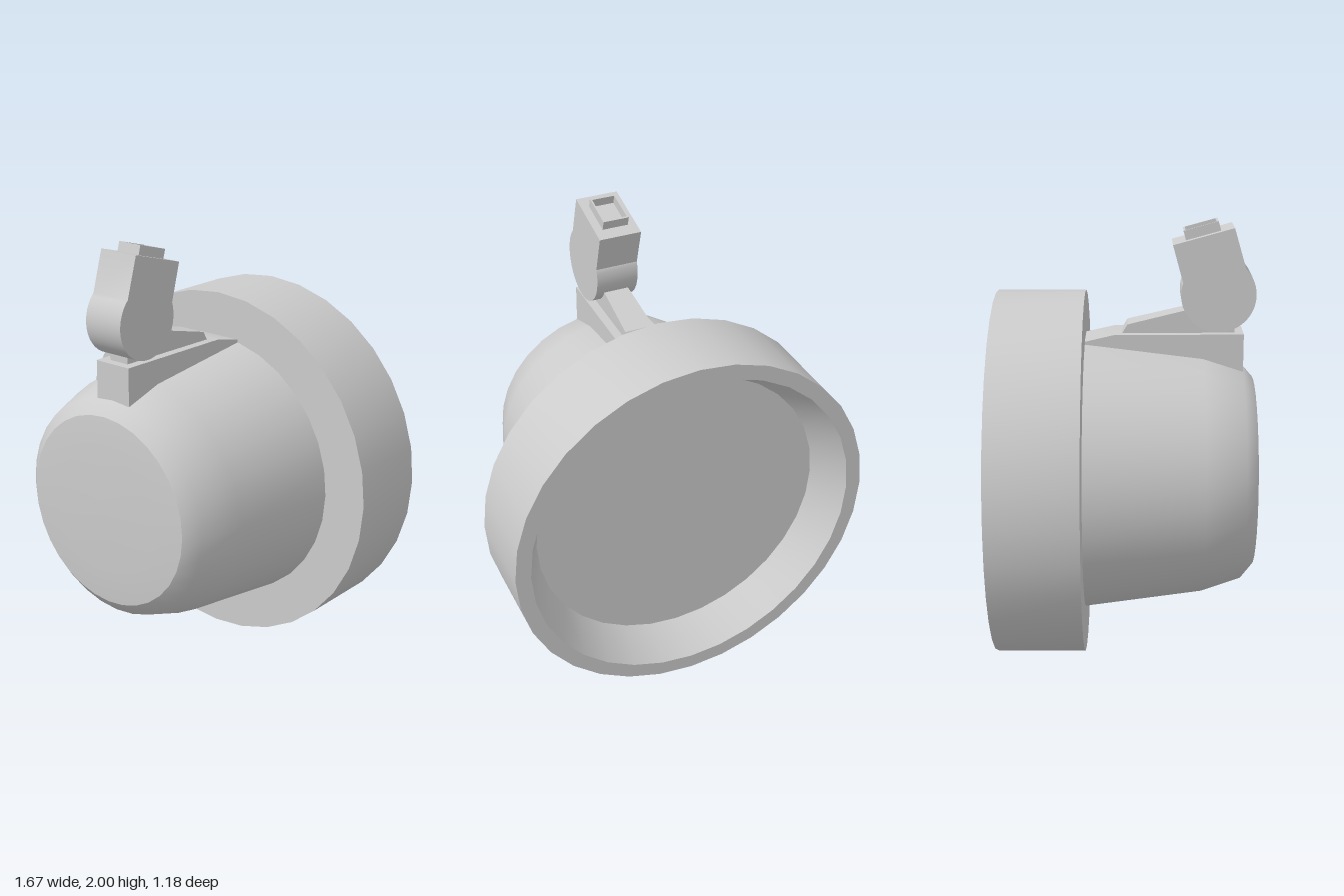
import * as THREE from 'three';
import { toCreasedNormals } from 'three/addons/utils/BufferGeometryUtils.js';

const AXIS_Y = 0.8375;
const CENTRE_X = 0.005;
const material = new THREE.MeshStandardMaterial({ color: 0xcccccc });

function part(name, geometry) {
  const mesh = new THREE.Mesh(geometry, material);
  mesh.name = name;
  return mesh;
}

// Turned part around the z axis; points are [radius, z]
function turned(points, segments = 32) {
  const profile = points.map(([r, z]) => new THREE.Vector2(r, z));
  return new THREE.LatheGeometry(profile, segments).rotateX(Math.PI / 2).translate(0, AXIS_Y, 0);
}

// Side profile drawn in (z, y), given a half width that may vary along z
function sidePlate(shape, halfWidth) {
  const g = new THREE.ExtrudeGeometry(shape, { depth: 2, bevelEnabled: false, curveSegments: 20 });
  g.translate(0, 0, -1).rotateY(-Math.PI / 2);
  const p = g.attributes.position;
  for (let i = 0; i < p.count; i++) {
    p.setX(i, CENTRE_X + p.getX(i) * halfWidth(p.getZ(i)));
  }
  return toCreasedNormals(g, 0.5);
}

const polygon = (points) => new THREE.Shape(points.map(([z, y]) => new THREE.Vector2(z, y)));

export function createModel() {
  const group = new THREE.Group();

  // Wide ring with a conical recess at the back, closed by a flat plate
  group.add(part('rim', toCreasedNormals(turned([
    [0, -0.415], [0.675, -0.415], [0.765, -0.59], [0.835, -0.59], [0.835, -0.19], [0.6, -0.19],
  ]), 0.4)));

  // Tapered bowl with a rounded shoulder
  group.add(part('body', turned([[0.63, -0.19], [0.56, 0.34], [0.5, 0.52], [0.438, 0.573]])));

  // Very shallow domed front
  group.add(part('frontCap', turned([[0.438, 0.573], [0.285, 0.587], [0, 0.589]])));

  // Mounting foot that widens toward the rim
  group.add(part('mountFoot', sidePlate(
    polygon([[0.52, 1.3], [0.52, 1.5], [-0.06, 1.5], [-0.19, 1.47], [-0.19, 1.3]]),
    (z) => 0.092 + (0.52 - z) * 0.026,
  )));

  // Ramp under the knuckle
  group.add(part('mountRamp', sidePlate(
    polygon([[0.48, 1.49], [0.48, 1.53], [0.3, 1.61], [0.25, 1.6], [0, 1.54], [-0.03, 1.49]]),
    (z) => 0.067 - Math.max(0, z) * 0.035,
  )));

  // Round knuckle carrying a tilted square stem
  const knuckle = new THREE.Shape();
  knuckle.moveTo(0.47, 1.975);
  knuckle.lineTo(0.2, 1.9);
  knuckle.lineTo(0.247, 1.73);
  knuckle.absarc(0.405, 1.678, 0.167, 2.84, Math.PI * 2.25, false);
  knuckle.closePath();
  group.add(part('knuckle', sidePlate(knuckle, () => 0.098)));

  // Small open square socket on the stem
  const socket = new THREE.LatheGeometry([
    new THREE.Vector2(1, -0.02), new THREE.Vector2(1, 0.043),
    new THREE.Vector2(0.88, 0.043), new THREE.Vector2(0.88, 0.002), new THREE.Vector2(0, 0.002),
  ], 4).rotateY(Math.PI / 4);
  socket.scale(0.06 * Math.SQRT2, 1, 0.08 * Math.SQRT2);
  const socketMesh = part('socket', toCreasedNormals(socket, 0.3));
  socketMesh.position.set(CENTRE_X, 1.9375, 0.335);
  socketMesh.rotation.x = -Math.atan2(0.075, 0.27);
  group.add(socketMesh);

  return group;
}
